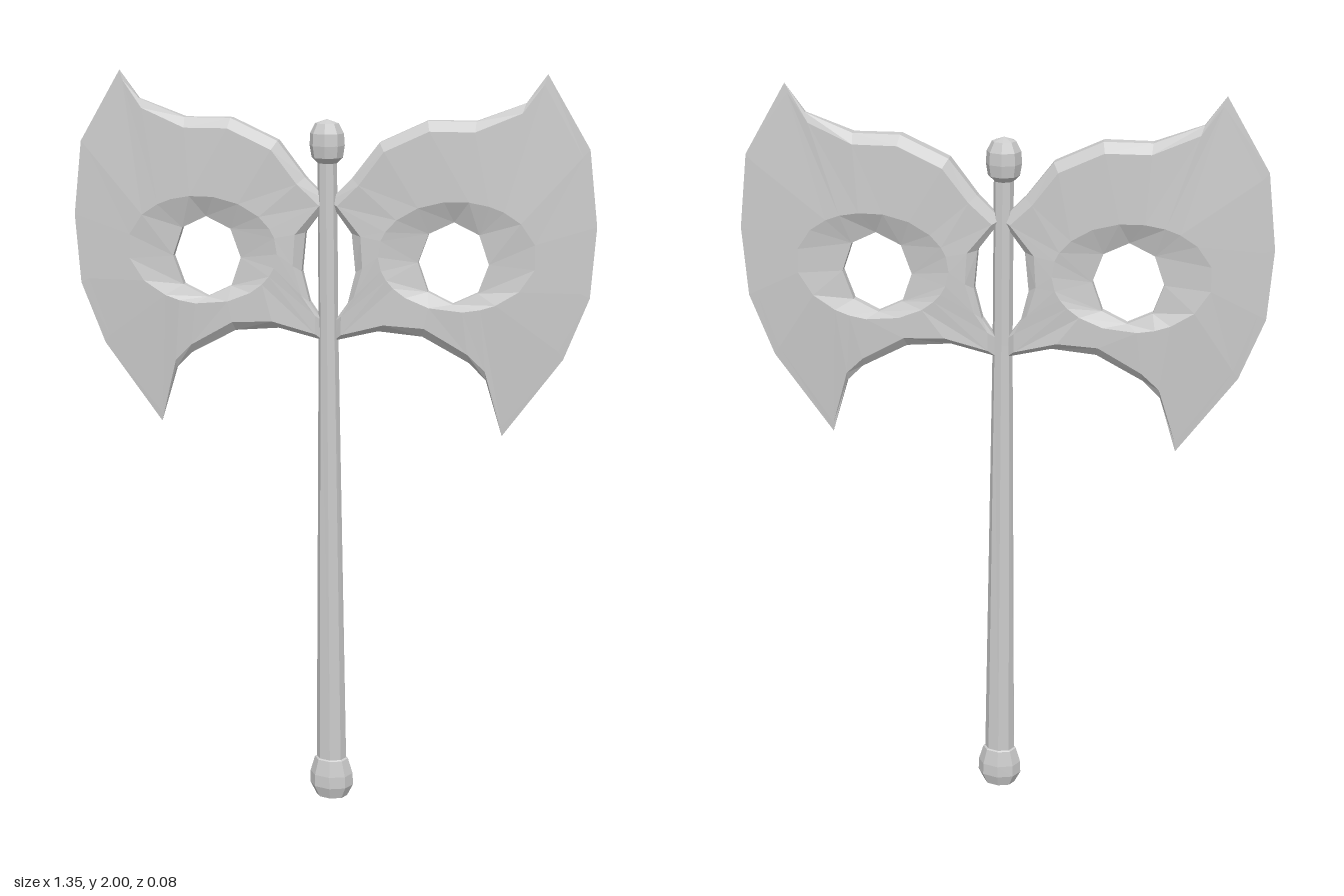
import * as THREE from 'three';

const material = new THREE.MeshStandardMaterial({ color: 0xcccccc, flatShading: true });

// Blade outline, clockwise from the upper joint: x, y, matching angle around the eye
const OUTLINE = [
  [0, 1.68, 155], [0.06, 1.74, 140], [0.13, 1.83, 120], [0.25, 1.885, 100], [0.37, 1.885, 82],
  [0.49, 1.93, 67], [0.54, 2, 55], [0.65, 1.82, 38], [0.675, 1.63, 14], [0.665, 1.45, -12],
  [0.605, 1.29, -38], [0.455, 1.08, -60], [0.41, 1.23, -72], [0.365, 1.275, -85],
  [0.245, 1.34, -110], [0.13, 1.35, -130], [0.015, 1.32, -143], [0.015, 1.37, -153],
  [0.05, 1.42, -163], [0.07, 1.5, -178], [0.06, 1.6, -195],
];
const EDGE = OUTLINE.slice(6, 12); // sharpened part, tip to tip

// x of the cutting edge at height y
function edgeX(y) {
  for (let i = 0; i < EDGE.length - 1; i++) {
    const [x0, y0] = EDGE[i], [x1, y1] = EDGE[i + 1];
    if (y <= y0 && y >= y1) return x0 + ((x1 - x0) * (y0 - y)) / (y0 - y1);
  }
  return y > 1.5 ? EDGE[0][0] : EDGE[EDGE.length - 1][0];
}

// Half thickness: wedge toward the cutting edge, slimmer near the handle
const half = (x, y) => Math.max(0, Math.min(0.034, 0.017 + 0.14 * x, 0.115 * (edgeX(y) - x)));

function bladeGeometry(side) {
  const positions = [], index = [];
  for (const [x, y, deg] of OUTLINE) {
    const a = THREE.MathUtils.degToRad(deg);
    const h = (Math.round(deg / 45) * Math.PI) / 4; // eight-sided eye
    const rx = 0.33 + 0.2 * Math.cos(a), ry = 1.55 + 0.14 * Math.sin(a);
    const t = 0.025 / Math.hypot(rx - x, ry - y);
    const bx = x + (rx - x) * t, by = y + (ry - y) * t;
    // rim, bevel, lip of the recess, eye
    const front = [
      [x, y, 0.45 * half(x, y)],
      [bx, by, half(bx, by)],
      [rx, ry, half(rx, ry)],
      [0.32 + 0.09 * Math.cos(h), 1.53 + 0.105 * Math.sin(h), 0.01],
    ];
    const back = front.map(([px, py, pz]) => [px, py, -pz]).reverse();
    for (const [px, py, pz] of [...front, ...back]) positions.push(side * px, py, pz - 0.004);
  }
  const n = OUTLINE.length, m = 8;
  for (let i = 0; i < n; i++) {
    for (let j = 0; j < m; j++) {
      const i2 = (i + 1) % n, j2 = (j + 1) % m;
      const a = i * m + j, b = i * m + j2, c = i2 * m + j2, d = i2 * m + j;
      if (side > 0) index.push(a, b, c, a, c, d);
      else index.push(a, c, b, a, d, c);
    }
  }
  const g = new THREE.BufferGeometry();
  g.setAttribute('position', new THREE.Float32BufferAttribute(positions, 3));
  g.setIndex(index);
  g.computeVertexNormals();
  return g;
}

// Eight-sided turned part, oval at the foot and nearly round at the top
function turned(profile) {
  const g = new THREE.LatheGeometry(profile.map(([r, y]) => new THREE.Vector2(r, y)), 8);
  const p = g.attributes.position;
  for (let i = 0; i < p.count; i++) {
    const t = p.getY(i) / 1.88;
    p.setX(i, p.getX(i) + THREE.MathUtils.lerp(0.008, -0.005, t));
    p.setZ(i, p.getZ(i) * THREE.MathUtils.lerp(0.65, 0.92, t));
  }
  g.computeVertexNormals();
  return g;
}

export function createModel() {
  const group = new THREE.Group();
  const add = (name, geometry) => {
    const mesh = new THREE.Mesh(geometry, material);
    mesh.name = name;
    group.add(mesh);
  };
  add('handle', turned([[0.042, 0.1], [0.026, 1.35], [0.025, 1.8]]));
  add('pommel', turned([[0, 0], [0.044, 0.005], [0.061, 0.04], [0.06, 0.075], [0.047, 0.12], [0.038, 0.125]]));
  add('topKnob', turned([[0.024, 1.775], [0.04, 1.79], [0.045, 1.82], [0.043, 1.85], [0.03, 1.875], [0, 1.885]]));
  add('leftBlade', bladeGeometry(1));
  add('rightBlade', bladeGeometry(-1));
  return group;
}
